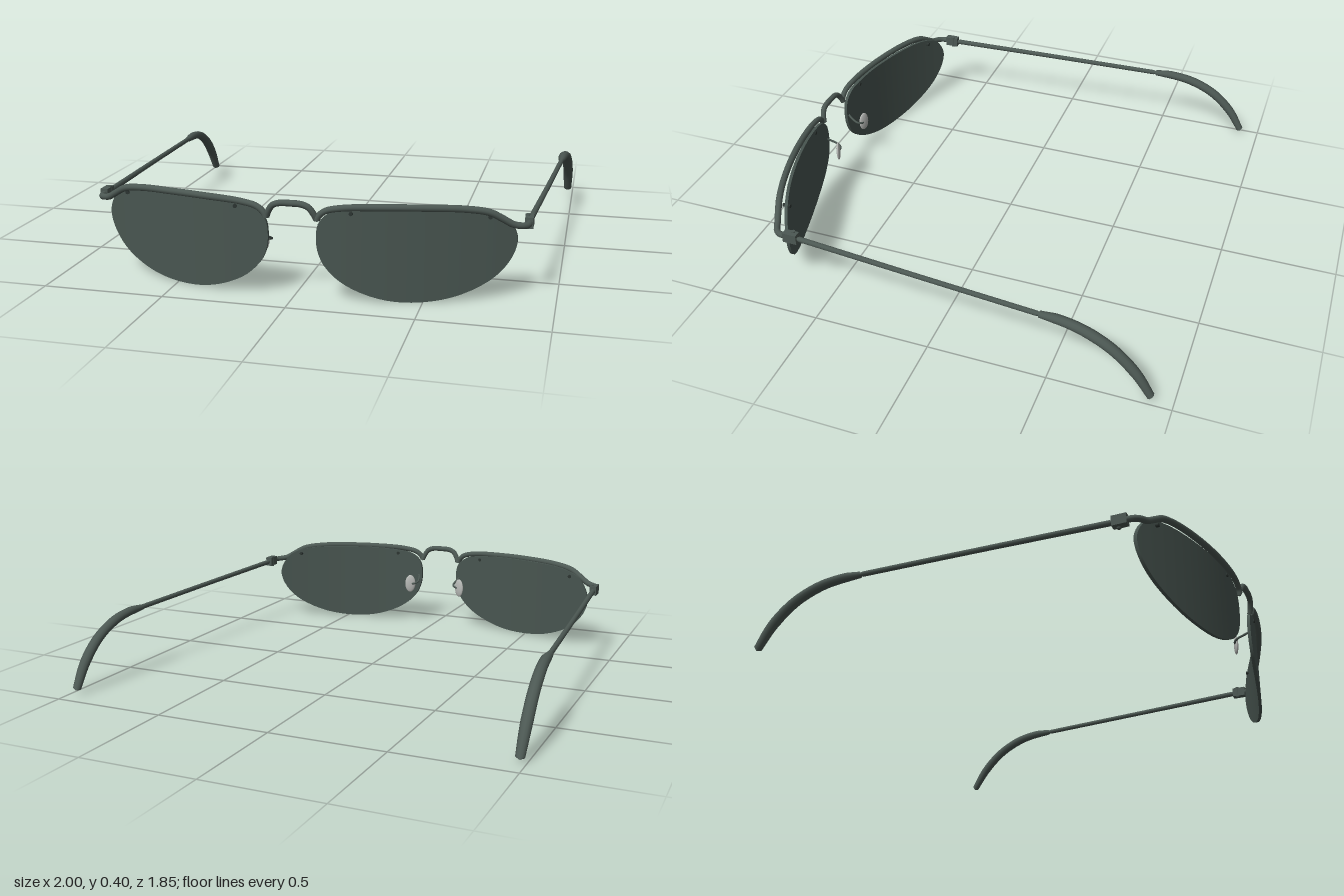
import * as THREE from 'three';
import { mergeGeometries } from 'three/addons/utils/BufferGeometryUtils.js';
import { ParametricGeometry } from 'three/addons/geometries/ParametricGeometry.js';

const material = (name, color) => Object.assign(new THREE.MeshStandardMaterial({ color }), { name });

// Lens outline (x, y), counter-clockwise from the nose side
const LENS = [[0.096, 0.24], [0.105, 0.19], [0.13, 0.14], [0.2, 0.075], [0.33, 0.02], [0.465, 0.004],
  [0.625, 0.027], [0.76, 0.095], [0.825, 0.175], [0.842, 0.245], [0.82, 0.305], [0.785, 0.343],
  [0.7, 0.372], [0.5, 0.383], [0.25, 0.377], [0.15, 0.358], [0.105, 0.315]];

const lensZ = (x) => 0.897 - 0.285 * x * x;
const browZ = (x) => 0.905 - 0.25 * x * x;

// Closed tube whose radius follows evenly spaced samples; widthScale stretches it along x
function taperedTube(points, radii, segments, widthScale = 1) {
  const curve = new THREE.CatmullRomCurve3(points.map((p) => new THREE.Vector3(...p)));
  const sides = 12;
  const geo = new THREE.TubeGeometry(curve, segments, 1, sides);
  const pos = geo.attributes.position;
  const v = new THREE.Vector3();
  for (let i = 0; i <= segments; i++) {
    const f = (i / segments) * (radii.length - 1);
    const k = Math.min(Math.floor(f), radii.length - 2);
    const r = THREE.MathUtils.lerp(radii[k], radii[k + 1], f - k);
    const c = curve.getPointAt(i / segments);
    // the end rings close to a point
    const size = i === 0 || i === segments ? 0.0001 : r;
    for (let j = 0; j <= sides; j++) {
      const n = i * (sides + 1) + j;
      v.fromBufferAttribute(pos, n).sub(c).multiplyScalar(size);
      pos.setXYZ(n, c.x + v.x * widthScale, c.y + v.y, c.z + v.z);
    }
  }
  return geo;
}

// Curved lens: front face, back face and rim
function lensGeometry(s) {
  const outline = new THREE.CatmullRomCurve3(
    LENS.map(([x, y]) => new THREE.Vector3(s * x, y, 0)), true);
  const cx = s * 0.47, cy = 0.21, thick = 0.014;
  const surface = (clockwise, place) => (u, v, target) => {
    const p = outline.getPoint(clockwise === (s > 0) ? 1 - u : u);
    const [r, back] = place(v);
    const x = cx + (p.x - cx) * r;
    target.set(x, cy + (p.y - cy) * r, lensZ(x) - back);
  };
  return mergeGeometries([
    new ParametricGeometry(surface(true, (v) => [0.001 + 0.999 * v, 0]), 72, 10),
    new ParametricGeometry(surface(false, (v) => [0.001 + 0.999 * v, thick]), 72, 10),
    new ParametricGeometry(surface(true, (v) => [1, thick * v]), 72, 1),
  ]);
}

export function createModel() {
  const model = new THREE.Group();
  model.name = 'sunglasses';
  const frame = material('frame grey green', 0x4c5853);
  const tint = material('tinted lens', 0x485550);
  const dark = material('dark screw', 0x2c3431);
  const clear = material('pale nose pad', 0xb9bbb8);

  const add = (parent, name, geo, mat) => {
    const mesh = new THREE.Mesh(geo, mat);
    mesh.name = name;
    parent.add(mesh);
    return mesh;
  };

  // Arched bridge over the nose
  const half = [[0.1, 0.325, 0.895], [0.09, 0.352, 0.902], [0.07, 0.38, 0.908], [0.04, 0.391, 0.91]];
  const bridge = [...half.map(([x, y, z]) => [-x, y, z]), [0, 0.392, 0.91], ...half.reverse()];
  add(model, 'bridge', taperedTube(bridge, [0.012, 0.013, 0.012], 48), frame);

  for (const s of [1, -1]) {
    const side = new THREE.Group();
    side.name = s > 0 ? 'leftSide' : 'rightSide';
    model.add(side);

    add(side, 'lens', lensGeometry(s), tint);

    // Brow bar running out and turning back to the hinge
    const brow = [[0.1, 0.322], [0.108, 0.345], [0.135, 0.368], [0.2, 0.382], [0.35, 0.388], [0.5, 0.388],
      [0.65, 0.382], [0.74, 0.366], [0.79, 0.338], [0.83, 0.314]]
      .map(([x, y]) => [s * x, y, browZ(x)]);
    brow.push([s * 0.865, 0.307, 0.715], [s * 0.879, 0.305, 0.695], [s * 0.881, 0.305, 0.66]);
    add(side, 'browBar', taperedTube(brow, [0.012, 0.014, 0.014, 0.014, 0.013], 90), frame);

    // Hinge block
    const hinge = add(side, 'hinge', new THREE.BoxGeometry(0.032, 0.044, 0.062), frame);
    hinge.position.set(s * 0.881, 0.305, 0.643);
    const pin = add(side, 'hingePin', new THREE.CylinderGeometry(0.009, 0.009, 0.052, 12), frame);
    pin.position.set(s * 0.872, 0.305, 0.635);

    // Thin straight temple
    add(side, 'temple', taperedTube(
      [[s * 0.881, 0.305, 0.63], [s * 0.918, 0.295, 0.09], [s * 0.954, 0.284, -0.47]],
      [0.012, 0.011, 0.011], 40), frame);

    // Thicker sleeve curving down behind the ear
    add(side, 'templeTip', taperedTube(
      [[s * 0.952, 0.284, -0.445], [s * 0.957, 0.283, -0.54], [s * 0.964, 0.264, -0.64],
        [s * 0.971, 0.212, -0.75], [s * 0.975, 0.125, -0.845], [s * 0.975, 0.018, -0.915]],
      [0.012, 0.018, 0.019, 0.02, 0.02, 0.02, 0.02, 0.018, 0.015], 60, 1.2), frame);

    // Lens screws, through to the brow bar
    for (const [x, y] of [[0.74, 0.342], [0.23, 0.358]]) {
      const length = x > 0.5 ? 0.035 : 0.022;
      const screw = add(side, 'lensScrew', new THREE.CylinderGeometry(0.008, 0.008, length, 12), dark);
      screw.rotation.x = Math.PI / 2;
      screw.position.set(s * x, y, lensZ(x) - 0.006);
    }

    // Nose pad on a bent wire
    add(side, 'padWire', taperedTube(
      [[s * 0.115, 0.25, 0.885], [s * 0.104, 0.235, 0.86], [s * 0.1, 0.22, 0.83],
        [s * 0.115, 0.212, 0.815], [s * 0.137, 0.21, 0.816]], [0.005, 0.005], 30), frame);
    const pad = add(side, 'nosePad', new THREE.SphereGeometry(1, 20, 14), clear);
    pad.scale.set(0.009, 0.046, 0.027);
    pad.rotation.y = s * 1.97;
    pad.position.set(s * 0.137, 0.21, 0.815);
  }
  return model;
}
